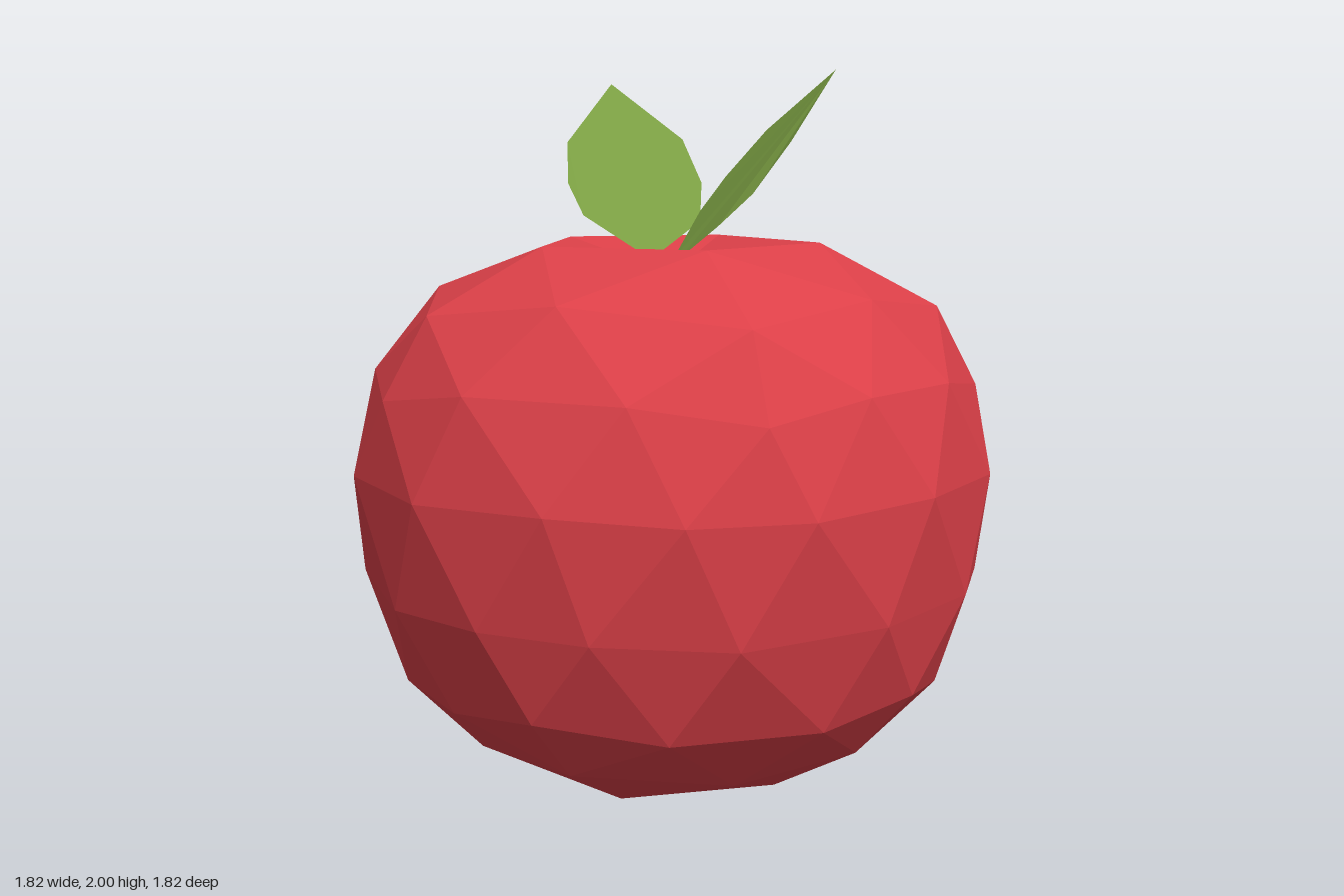
import * as THREE from 'three';

const skin = new THREE.MeshStandardMaterial({ name: 'appleRed', color: 0xdc4048, flatShading: true });
const green = new THREE.MeshStandardMaterial({
  name: 'leafGreen', color: 0x7a9e42, flatShading: true, side: THREE.DoubleSide,
});

// Fruit outline: [degrees from the top, radius, height]
const PROFILE = [
  [0, 0, 1.43], [20, 0.42, 1.52], [43, 0.75, 1.35], [70, 0.905, 1.05], [90, 0.925, 0.74],
  [115, 0.83, 0.36], [137, 0.67, 0.16], [160, 0.4, 0], [180, 0, 0],
];

function profileAt(deg) {
  let i = 1;
  while (i < PROFILE.length - 1 && deg > PROFILE[i][0]) i++;
  const a = PROFILE[i - 1], b = PROFILE[i];
  const t = THREE.MathUtils.clamp((deg - a[0]) / (b[0] - a[0]), 0, 1);
  return [THREE.MathUtils.lerp(a[1], b[1], t), THREE.MathUtils.lerp(a[2], b[2], t)];
}

// Faceted fruit: a pole-up icosphere pulled onto the outline
function makeFruit() {
  const geo = new THREE.IcosahedronGeometry(1, 2);
  geo.rotateZ(Math.atan2(1, (1 + Math.sqrt(5)) / 2));
  const pos = geo.attributes.position;
  const v = new THREE.Vector3();
  for (let i = 0; i < pos.count; i++) {
    v.fromBufferAttribute(pos, i).normalize();
    const deg = THREE.MathUtils.radToDeg(Math.acos(THREE.MathUtils.clamp(v.y, -1, 1)));
    const [r, y] = profileAt(deg);
    // slight sideways drift keeps the facets uneven
    const phi = Math.atan2(v.z, v.x);
    const turn = phi + 0.05 * Math.sin(3 * phi + 5 * v.y);
    pos.setXYZ(i, r * Math.cos(turn), y, r * Math.sin(turn));
  }
  geo.computeVertexNormals();
  const mesh = new THREE.Mesh(geo, skin);
  mesh.name = 'fruit';
  return mesh;
}

// Flat leaf: a fan over its outline, facing up
function makeLeaf(name, outline) {
  const geo = new THREE.BufferGeometry();
  geo.setAttribute('position', new THREE.Float32BufferAttribute(outline.flat(), 3));
  const index = [];
  for (let i = 1; i < outline.length - 1; i++) index.push(0, i, i + 1);
  geo.setIndex(index);
  geo.computeVertexNormals();
  const mesh = new THREE.Mesh(geo, green);
  mesh.name = name;
  return mesh;
}

export function createModel() {
  const model = new THREE.Group();
  model.name = 'apple';
  model.add(
    makeFruit(),
    makeLeaf('leftLeaf', [
      [0.35, 2, -0.3], [0.1, 1.835, -0.31], [-0.02, 1.7, -0.27], [-0.06, 1.6, -0.2],
      [-0.01, 1.47, -0.02], [0.04, 1.475, 0.01], [0.21, 1.57, 0.05], [0.3, 1.66, 0.01], [0.36, 1.8, -0.08],
    ]),
    makeLeaf('rightLeaf', [
      [-0.48, 1.98, -0.27], [-0.24, 1.81, -0.33], [-0.13, 1.68, -0.29], [-0.06, 1.57, -0.2],
      [-0.07, 1.485, -0.03], [-0.11, 1.49, 0.02], [-0.26, 1.59, 0.09], [-0.35, 1.68, 0.06], [-0.43, 1.8, -0.02],
    ].reverse()),
  );
  return model;
}
